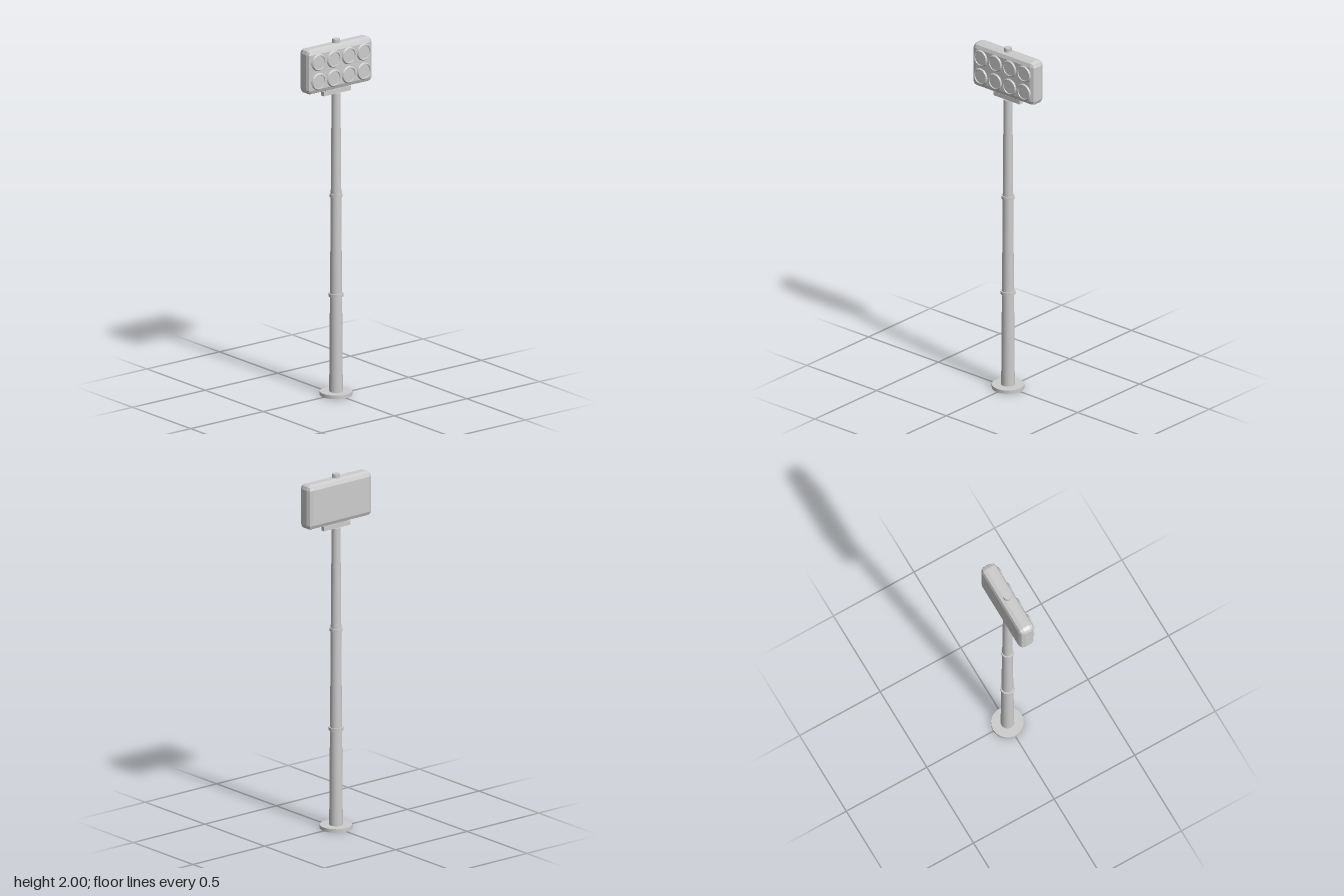
import * as THREE from 'three';
import { RoundedBoxGeometry } from 'three/addons/geometries/RoundedBoxGeometry.js';

export function createModel() {
  const group = new THREE.Group();
  const grey = new THREE.MeshStandardMaterial({ color: 0xcccccc });
  grey.name = 'lightGrey';
  const greyFaceted = new THREE.MeshStandardMaterial({ color: 0xcccccc, flatShading: true });
  greyFaceted.name = 'lightGreyFaceted';

  const add = (name, geometry, x, y, z, material = grey) => {
    const mesh = new THREE.Mesh(geometry, material);
    mesh.name = name;
    mesh.position.set(x, y, z);
    group.add(mesh);
    return mesh;
  };
  // Upright cylinder from y0 to y1
  const column = (name, rBottom, rTop, y0, y1) =>
    add(name, new THREE.CylinderGeometry(rTop, rBottom, y1 - y0, 20), 0, (y0 + y1) / 2, 0);

  // Base plate, tapering mast and its joint collars
  column('basePlate', 0.088, 0.088, 0, 0.02);
  column('mast', 0.037, 0.024, 0.02, 1.695);
  column('lowerCollar', 0.04, 0.04, 0.553, 0.571);
  column('upperCollar', 0.035, 0.035, 1.112, 1.13);

  // Mounting bracket between mast and lamp housing
  add('bracketBar', new THREE.BoxGeometry(0.186, 0.024, 0.024), 0, 1.707, 0);
  add('bracketNeck', new THREE.BoxGeometry(0.155, 0.024, 0.018), 0, 1.727, 0);

  // Lamp housing with chamfered edges, and the cap on top
  add('lampHousing', new RoundedBoxGeometry(0.444, 0.252, 0.09, 1, 0.027), 0, 1.853, 0, greyFaceted);
  column('topCap', 0.021, 0.021, 1.96, 2);

  // Two rows of four lamps: bevelled rim around a slightly recessed lens
  const profile = [[0.048, 0], [0.048, 0.003], [0.043, 0.01], [0.039, 0.01], [0.037, 0.006], [0, 0.006]]
    .map(([r, h]) => new THREE.Vector2(r, h));
  const lampGeometry = new THREE.LatheGeometry(profile, 20).rotateX(Math.PI / 2);
  for (const y of [1.798, 1.905]) {
    for (let i = 0; i < 4; i++) {
      add('lamp', lampGeometry, (i - 1.5) * 0.1035, y, 0.0435, greyFaceted);
    }
  }
  return group;
}
